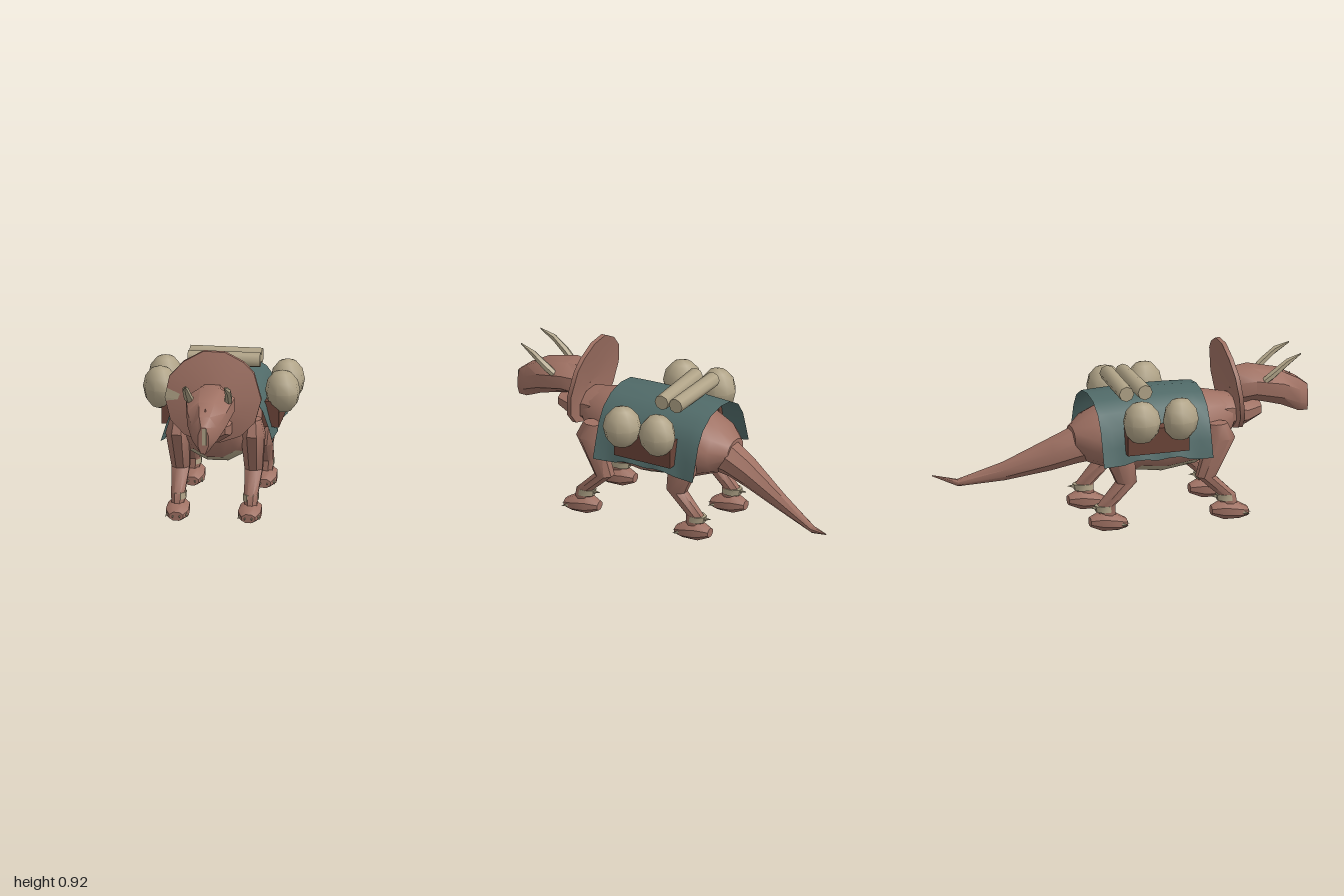
import * as THREE from 'three';
import { toCreasedNormals } from 'three/addons/utils/BufferGeometryUtils.js';

const material = (name, color, side = THREE.FrontSide) => {
  const m = new THREE.MeshStandardMaterial({ color, side });
  m.name = name;
  return m;
};

// Skin through oval rings [x, y, z, a, b], given in rising order along the axis.
// paint(ring, side) picks the material group of each strip.
function loft(rings, sides = 8, axis = 'z', paint = () => 0) {
  const pos = [], groups = [[], []], n = rings.length;
  for (const [x, y, z, a, b] of rings) {
    for (let j = 0; j < sides; j++) {
      const t = (j + 0.5) / sides * Math.PI * 2, c = Math.cos(t), s = Math.sin(t);
      if (axis === 'z') pos.push(x + a * c, y + b * s, z);
      else pos.push(x + a * s, y, z + b * c);
    }
  }
  pos.push(...rings[0].slice(0, 3), ...rings[n - 1].slice(0, 3));
  const first = n * sides, last = first + 1;
  for (let j = 0; j < sides; j++) {
    const k = (j + 1) % sides, top = (n - 1) * sides;
    groups[0].push(first, k, j, last, top + j, top + k);
    for (let i = 0; i < n - 1; i++) {
      const p = i * sides + j, q = i * sides + k;
      groups[paint(i, j)].push(p, q, q + sides, p, q + sides, p + sides);
    }
  }
  const g = new THREE.BufferGeometry();
  g.setAttribute('position', new THREE.Float32BufferAttribute(pos, 3));
  g.setIndex([...groups[0], ...groups[1]]);
  if (groups[1].length) {
    g.addGroup(0, groups[0].length, 0);
    g.addGroup(groups[0].length, groups[1].length, 1);
  }
  return toCreasedNormals(g, 0.75);
}

export function createModel() {
  const model = new THREE.Group();
  const skin = material('skin', 0x9f7163);
  const tan = material('tan', 0xb0a387);
  const cloth = material('teal cloth', 0x506a68, THREE.DoubleSide);
  const leather = material('leather', 0x6b4438);

  const add = (name, geometry, mat, parent = model) => {
    const mesh = new THREE.Mesh(geometry, mat);
    mesh.name = name;
    parent.add(mesh);
    return mesh;
  };

  // Barrel body with a pale belly
  add('body', loft([
    [0, 0.47, -0.31, 0.085, 0.06], [0, 0.465, -0.23, 0.17, 0.13],
    [0, 0.47, -0.1, 0.215, 0.185], [0, 0.475, 0.03, 0.235, 0.205],
    [0, 0.472, 0.17, 0.24, 0.222], [0, 0.475, 0.36, 0.215, 0.2],
    [0, 0.49, 0.49, 0.16, 0.16], [0, 0.53, 0.56, 0.11, 0.09],
  ], 12, 'z', (i, j) => (i >= 3 && i <= 5 && j >= 7 && j <= 9 ? 1 : 0)), [skin, tan]);

  // Tail sweeping to the left
  add('tail', loft([
    [0.25, 0.245, -1, 0.003, 0.003], [0.18, 0.217, -0.88, 0.023, 0.019],
    [0.098, 0.285, -0.65, 0.045, 0.05], [0.03, 0.375, -0.42, 0.08, 0.085],
    [0.005, 0.425, -0.29, 0.098, 0.1], [0, 0.45, -0.18, 0.11, 0.11],
  ], 8), skin);

  // Neck, jaw and head
  add('neck', loft([
    [0, 0.54, 0.36, 0.15, 0.125], [0, 0.545, 0.55, 0.12, 0.095],
    [0, 0.53, 0.64, 0.11, 0.07], [0, 0.55, 0.72, 0.09, 0.05],
  ], 8), skin);
  add('head', loft([
    [0, 0.665, 0.58, 0.1, 0.105], [0, 0.685, 0.68, 0.14, 0.093],
    [0, 0.645, 0.84, 0.112, 0.1], [0, 0.595, 0.94, 0.072, 0.097],
    [0, 0.57, 0.995, 0.03, 0.078],
  ], 8), skin);
  add('snoutStripe', new THREE.BoxGeometry(0.022, 0.09, 0.006), tan).position.set(0.006, 0.592, 0.996);
  const noseHorn = add('noseHorn', new THREE.ConeGeometry(0.01, 0.03, 4), skin);
  noseHorn.position.set(0, 0.705, 0.9);
  const chin = add('chinSpike', new THREE.ConeGeometry(0.022, 0.05, 4), tan);
  chin.position.set(0, 0.455, 0.61);
  chin.rotation.x = 2.2;

  // Frill: leaning dish with a shallow cone front and a hollow back
  const outline = [[0.06, 0.925], [0.16, 0.875], [0.215, 0.82], [0.257, 0.68], [0.225, 0.56], [0.15, 0.485],
    [0.03, 0.445], [-0.03, 0.445], [-0.15, 0.485], [-0.225, 0.56], [-0.257, 0.68], [-0.235, 0.79], [-0.16, 0.87], [-0.055, 0.928]];
  const lean = y => 0.52 + (0.93 - y) * 0.14;
  const dish = (s, dz) => outline.map(([x, y]) => [x * s, 0.66 + (y - 0.66) * s, lean(0.66 + (y - 0.66) * s) + dz]);
  const layers = [dish(0.01, 0.012), dish(0.45, 0.005), dish(1, -0.012), dish(1, 0.012), dish(0.45, 0.045), dish(0.01, 0.055)];
  const frill = new THREE.BufferGeometry(), frillIndex = [], count = outline.length;
  for (let i = 0; i < layers.length - 1; i++) {
    for (let j = 0; j < count; j++) {
      const k = (j + 1) % count, a = i * count + j, b = i * count + k;
      frillIndex.push(a, b + count, b, a, a + count, b + count);
    }
  }
  frill.setAttribute('position', new THREE.Float32BufferAttribute(layers.flat(2), 3));
  frill.setIndex(frillIndex);
  add('frill', toCreasedNormals(frill, 0.7), skin);

  // Pale mark at the right rim of the frill
  const onFrill = (j, f) => layers[3][j].map((v, c) => v + (layers[4][j][c] - v) * f + (c === 2 ? 0.004 : 0));
  const between = (p, q, f) => p.map((v, c) => v + (q[c] - v) * f);
  const mark = new THREE.BufferGeometry();
  mark.setAttribute('position', new THREE.Float32BufferAttribute([
    onFrill(10, 0), between(onFrill(10, 0.55), onFrill(11, 0.55), 0.4), between(onFrill(10, 0), onFrill(11, 0), 0.45),
    between(onFrill(10, 0), onFrill(9, 0), 0.15), onFrill(10, 0.5), onFrill(10, 0),
    onFrill(10, 0), onFrill(10, 0.5), between(onFrill(10, 0.55), onFrill(11, 0.55), 0.4),
  ].flat(), 3));
  mark.computeVertexNormals();
  add('frillMark', mark, tan);

  for (const side of [1, -1]) {
    const label = side > 0 ? 'left' : 'right';

    // Curved brow horn
    add(label + 'Horn', loft([
      [side * 0.095, 0.695, 0.71, 0.02, 0.02], [side * 0.108, 0.745, 0.775, 0.023, 0.027],
      [side * 0.112, 0.805, 0.85, 0.017, 0.022], [side * 0.105, 0.845, 0.93, 0.003, 0.004],
    ], 6), tan);

    // Legs bent at the knee
    const legs = {
      FrontLeg: { ankle: 0.49, rings: [[0.05, 0.51, 0.034, 0.045], [0.14, 0.49, 0.039, 0.05],
        [0.25, 0.375, 0.051, 0.055], [0.46, 0.455, 0.068, 0.08], [0.54, 0.44, 0.045, 0.055]] },
      HindLeg: { ankle: -0.18, rings: [[0.05, -0.165, 0.034, 0.045], [0.14, -0.175, 0.039, 0.05],
        [0.26, -0.065, 0.052, 0.058], [0.38, -0.1, 0.066, 0.08], [0.5, -0.11, 0.045, 0.06]] },
    };
    for (const [name, { ankle, rings }] of Object.entries(legs)) {
      const leg = new THREE.Group();
      leg.name = label + name;
      model.add(leg);
      const x = side * 0.192;
      add('limb', loft(rings.map(([y, z, a, b], i) => [side * (i > 2 ? 0.2 : 0.194), y, z, a, b]), 8, 'y'), skin, leg);
      add('foot', loft([
        [x, 0.055, ankle - 0.085, 0.03, 0.026], [x, 0.055, ankle - 0.02, 0.062, 0.054],
        [x, 0.045, ankle + 0.065, 0.066, 0.044], [x, 0.035, ankle + 0.115, 0.04, 0.025],
      ], 8), skin, leg);

      // Ankle cuff with a spur behind
      add('cuff', loft([[x, 0.108, ankle, 0.043, 0.054], [x, 0.142, ankle - 0.005, 0.043, 0.055]], 8, 'y'), tan, leg);
      const spur = add('spur', new THREE.ConeGeometry(0.02, 0.07, 5), tan, leg);
      spur.position.set(x, 0.13, ankle - 0.055);
      spur.rotation.x = -1.5;

      // Four toe claws
      for (let i = 0; i < 4; i++) {
        const spread = (i - 1.5) * 0.034;
        const claw = add('claw', new THREE.ConeGeometry(0.014, 0.055, 5), tan, leg);
        claw.position.set(x + spread, 0.038, ankle + 0.115 - Math.abs(spread) * 0.5);
        claw.rotation.set(1.85, 0, -spread * 6);
      }
    }

    // Side pack with two round sacks
    add(label + 'Pack', new THREE.BoxGeometry(0.1, 0.14, 0.34), leather).position.set(side * 0.262, 0.51, 0.08);
    for (const z of [0.195, -0.02]) {
      const sack = add(label + 'Sack', toCreasedNormals(new THREE.SphereGeometry(1, 9, 6), 0.8), tan);
      sack.scale.set(0.092, 0.117, 0.103);
      sack.position.set(side * 0.325, 0.625, z);
      sack.rotation.y = z * 3;
    }
  }

  // Saddle blanket: an arched sheet with a rippled hem
  const arch = [[0.3, 0.37], [0.272, 0.47], [0.24, 0.575], [0.19, 0.65], [0.105, 0.7], [0, 0.715]];
  const section = [...arch, ...arch.slice(0, 5).reverse().map(([x, y]) => [-x, y])];
  const last = section.length - 1, rows = 10;
  const sheet = new THREE.PlaneGeometry(1, 1, last, rows), p = sheet.attributes.position;
  for (let r = 0; r <= rows; r++) {
    const z = 0.385 - r / rows * 0.605, wave = Math.cos(r * 1.9);
    section.forEach(([x, y], c) => {
      const hem = Math.max(0, (0.6 - y) / 0.23), edge = (r / rows - 0.5) ** 2 * 4;
      p.setXYZ(r * (last + 1) + c, x + Math.sign(x) * hem * (wave * 0.012 - 0.01),
        y + hem * (0.03 * (1 - edge) + 0.012 * wave) - edge * 0.01 * (1 - hem), z);
    });
  }
  add('blanket', toCreasedNormals(sheet, 0.8), cloth);

  // Two bedrolls across the back
  for (const z of [-0.057, 0.037]) {
    const roll = add('bedroll', toCreasedNormals(new THREE.CylinderGeometry(0.041, 0.041, 0.385, 8), 0.8), tan);
    roll.rotation.set(0, z * 0.5, Math.PI / 2);
    roll.position.set(-0.005, 0.745, z);
  }
  return model;
}
